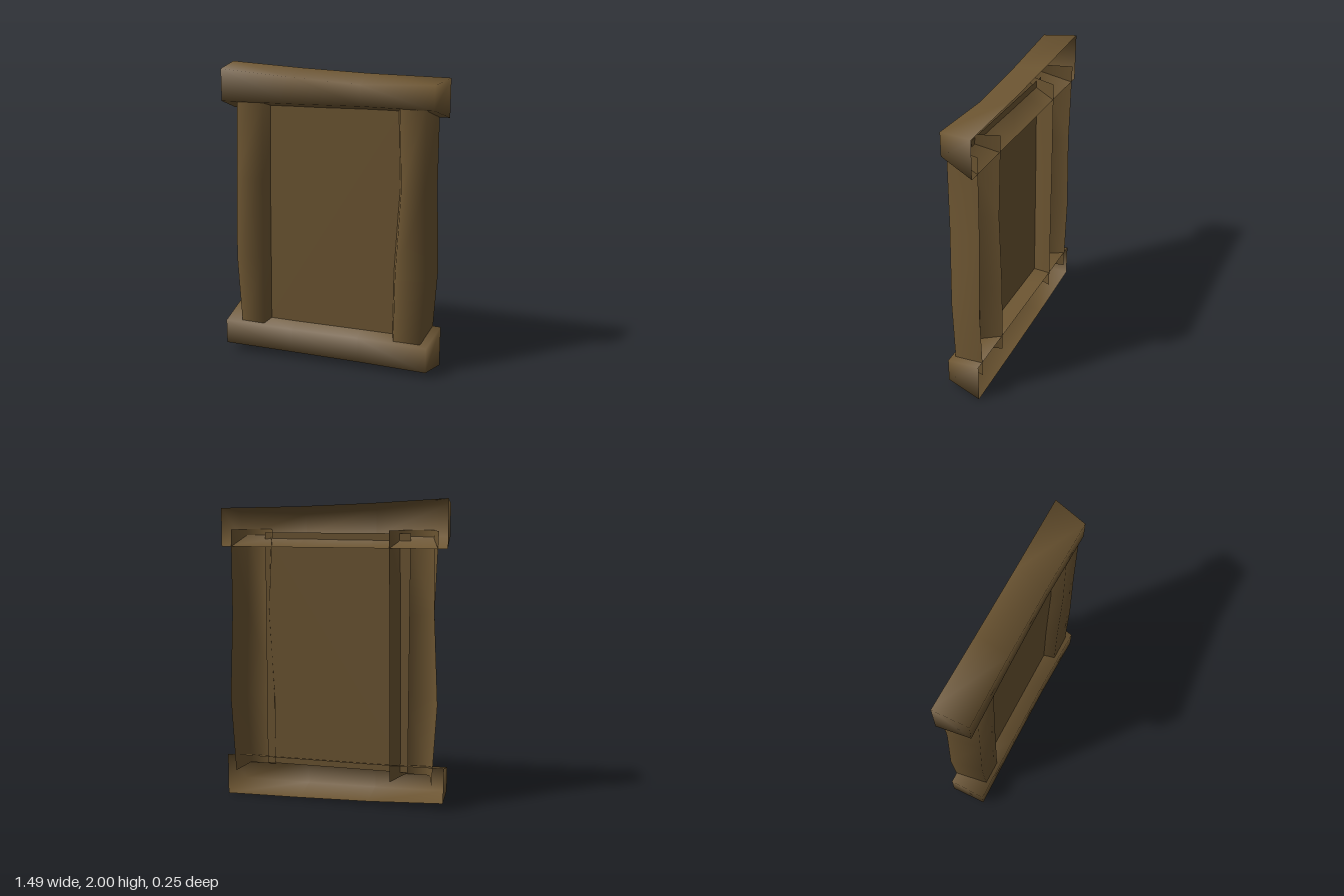
import * as THREE from 'three';

const wood = new THREE.MeshStandardMaterial({ color: 0x6b5431, side: THREE.DoubleSide });
wood.name = 'brown wood';

// Skin a row of four-point cross-sections into a log with an open back; ends are optional.
function openLog(name, rings, capped) {
  const index = [];
  for (let i = 0; i < rings.length - 1; i++) {
    for (let j = 0; j < 3; j++) {
      const a = i * 4 + j, b = a + 4;
      index.push(a, a + 1, b + 1, a, b + 1, b);
    }
  }
  if (capped) {
    const e = (rings.length - 1) * 4;
    index.push(0, 2, 1, 0, 3, 2, e, e + 1, e + 2, e, e + 2, e + 3);
  }
  const geo = new THREE.BufferGeometry();
  geo.setAttribute('position', new THREE.Float32BufferAttribute(rings.flat(2), 3));
  geo.setIndex(index);
  geo.computeVertexNormals();
  const mesh = new THREE.Mesh(geo, wood);
  mesh.name = name;
  return mesh;
}

// Beam section: back x, front x, front z, then back top, front top, front bottom, back bottom
const beamRing = ([xb, xf, zf, bt, ft, fb, bb]) => [
  [xb, bt, -0.122], [xf, ft, zf], [xf, fb, zf], [xb, bb, -0.122],
];

// Post section: height, then back, front, front, back x from the -x side to the +x side
const postRing = ([y, b0, f0, f1, b1]) => [
  [b0, y, -0.125], [f0, y, 0.092], [f1, y, 0.092], [b1, y, -0.125],
];

export function createModel() {
  const group = new THREE.Group();
  group.name = 'woodenFrame';

  // Horizontal beams with closed ends
  group.add(openLog('topBeam', [
    [-0.745, -0.73, 0.105, 2.0, 1.97, 1.76, 1.69],
    [-0.25, -0.25, 0.093, 1.97, 1.93, 1.76, 1.69],
    [0.22, 0.22, 0.088, 1.95, 1.9, 1.765, 1.69],
    [0.745, 0.695, 0.1, 1.94, 1.915, 1.76, 1.69],
  ].map(beamRing), true));

  group.add(openLog('bottomBeam', [
    [-0.745, -0.738, 0.12, 0.285, 0.228, 0.062, 0.053],
    [-0.25, -0.25, 0.113, 0.28, 0.22, 0.055, 0.027],
    [0.22, 0.22, 0.112, 0.28, 0.22, 0.05, 0.014],
    [0.73, 0.69, 0.123, 0.28, 0.215, 0.045, 0.004],
  ].map(beamRing), true));

  // Uneven upright posts, ends tucked inside the beams
  group.add(openLog('rightPost', [
    [0.17, -0.67, -0.625, -0.465, -0.395],
    [0.7, -0.7, -0.655, -0.46, -0.39],
    [1.25, -0.67, -0.64, -0.455, -0.385],
    [1.8, -0.69, -0.625, -0.44, -0.375],
  ].map(postRing), false));

  group.add(openLog('leftPost', [
    [0.17, 0.385, 0.46, 0.64, 0.67],
    [0.68, 0.385, 0.465, 0.665, 0.7],
    [1.25, 0.42, 0.495, 0.645, 0.678],
    [1.8, 0.39, 0.475, 0.645, 0.678],
  ].map(postRing), false));

  // Flat sheet filling the frame
  const panel = new THREE.Mesh(new THREE.PlaneGeometry(0.98, 1.58), wood);
  panel.name = 'panel';
  panel.position.set(0, 0.99, 0.015);
  group.add(panel);

  return group;
}
